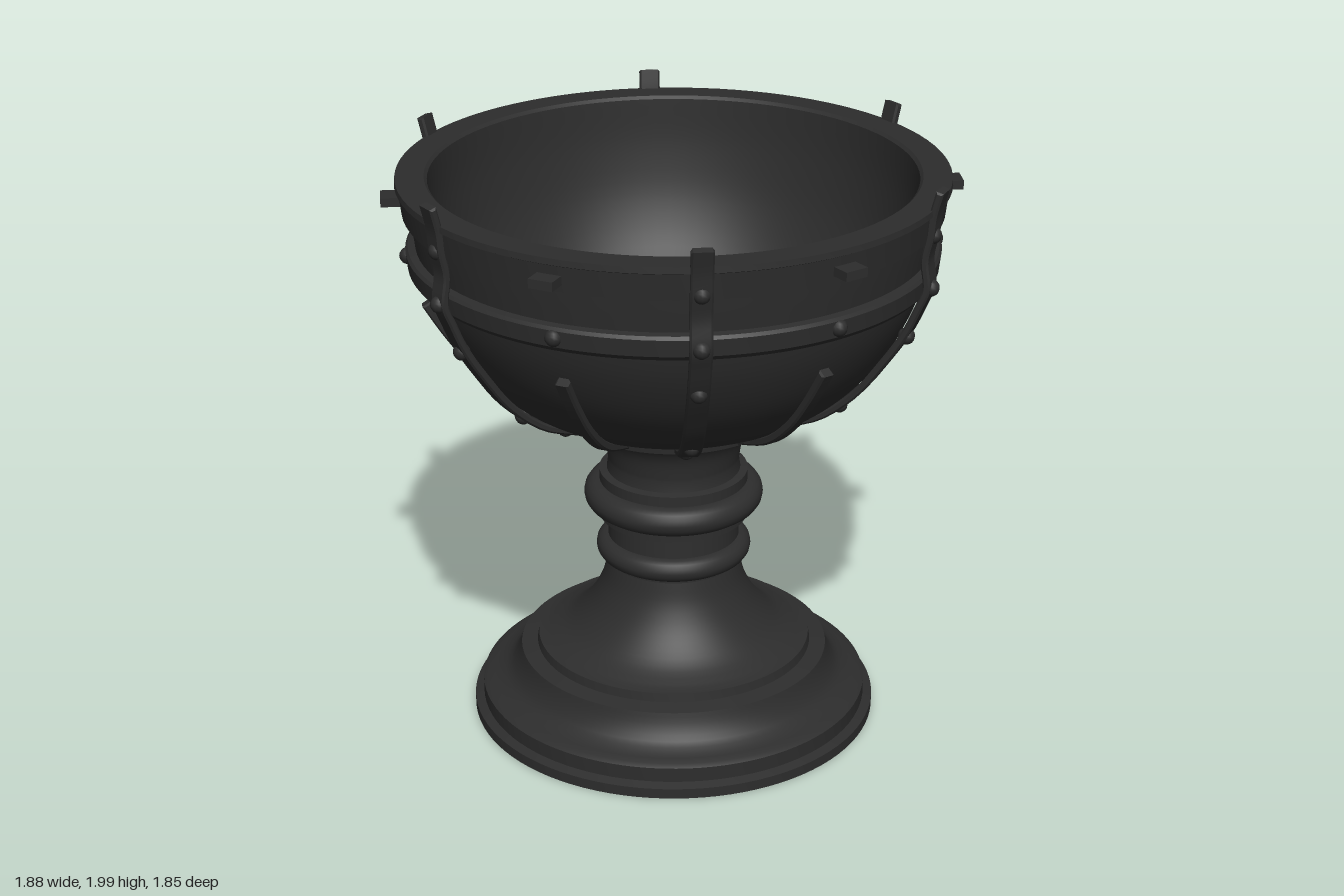
import * as THREE from 'three';
import { toCreasedNormals } from 'three/addons/utils/BufferGeometryUtils.js';

const iron = new THREE.MeshStandardMaterial({ color: 0x2d2d2d });
iron.name = 'dark iron';

const vec = (points) => points.map(([x, y]) => new THREE.Vector2(x, y));
const smooth = (points, n = 24) => new THREE.SplineCurve(vec(points)).getPoints(n);

function addMesh(parent, name, geometry) {
  const mesh = new THREE.Mesh(geometry, iron);
  mesh.name = name;
  parent.add(mesh);
  return mesh;
}

// Turned part with crisp edges; the profile runs up the outside
const turned = (points) => toCreasedNormals(new THREE.LatheGeometry(points, 96), 0.55);

// Flat bar that follows a radial profile, thickened to both sides
function bar(points, width, thickness) {
  const path = smooth(points, 36);
  const side = (sign) => path.map((p, i) => {
    const a = path[Math.max(i - 1, 0)], b = path[Math.min(i + 1, path.length - 1)];
    const t = b.clone().sub(a).normalize();
    return new THREE.Vector2(p.x + sign * t.y * thickness / 2, p.y - sign * t.x * thickness / 2);
  });
  const shape = new THREE.Shape([...side(1), ...side(-1).reverse()]);
  const bevel = 0.006;
  const geo = new THREE.ExtrudeGeometry(shape, {
    depth: width - 2 * bevel, bevelEnabled: true, bevelSize: bevel,
    bevelOffset: -bevel, bevelThickness: bevel, bevelSegments: 1,
  });
  geo.translate(0, 0, bevel - width / 2);
  return toCreasedNormals(geo, 0.5);
}

export function createModel() {
  const cup = new THREE.Group();
  cup.name = 'goblet';

  // Stepped foot and flared stem
  addMesh(cup, 'foot', turned([
    ...vec([[0, 0], [0.69, 0], [0.69, 0.035], [0.66, 0.045], [0.66, 0.095], [0.645, 0.105]]),
    ...smooth([[0.62, 0.11], [0.57, 0.135], [0.54, 0.18], [0.525, 0.225]], 8),
    ...vec([[0.47, 0.235], [0.465, 0.265]]),
    ...smooth([[0.44, 0.27], [0.36, 0.31], [0.29, 0.385], [0.245, 0.47], [0.225, 0.55]], 16),
  ]));
  addMesh(cup, 'stem', turned([
    ...vec([[0.225, 0.54], [0.22, 0.71], [0.25, 0.715], [0.25, 0.745], [0.25, 0.85], [0.25, 0.88], [0.225, 0.885]]),
    ...smooth([[0.22, 0.92], [0.235, 1.0], [0.27, 1.055], [0.325, 1.08]], 14),
    ...vec([[0.355, 1.085], [0.36, 1.12], [0.3, 1.14]]),
  ]));

  // Rounded collars on the stem
  for (const [name, y, radius, height] of [['largeKnop', 0.795, 0.302, 0.05], ['smallKnop', 0.6, 0.262, 0.041]]) {
    const ring = new THREE.TorusGeometry(radius - height, height, 16, 80);
    ring.rotateX(Math.PI / 2);
    addMesh(cup, name, ring).position.y = y;
  }

  // Hollow bowl with a raised rim
  addMesh(cup, 'bowl', turned([
    ...smooth([[0.3, 1.115], [0.42, 1.135], [0.54, 1.195], [0.64, 1.28], [0.725, 1.39], [0.79, 1.52], [0.825, 1.64], [0.84, 1.74], [0.848, 1.81]], 30),
    ...vec([[0.875, 1.82], [0.885, 1.905], [0.895, 1.91], [0.893, 1.93], [0.8, 1.93]]),
    ...smooth([[0.79, 1.92], [0.775, 1.75], [0.73, 1.56], [0.64, 1.39], [0.5, 1.27], [0.3, 1.2], [0, 1.175]], 30),
  ]));
  addMesh(cup, 'bowlBand', turned(vec(
    [[0.81, 1.62], [0.85, 1.62], [0.862, 1.635], [0.868, 1.69], [0.86, 1.7], [0.82, 1.705]])));

  const strapGeo = bar([[0.4, 1.12], [0.53, 1.17], [0.65, 1.27], [0.74, 1.39], [0.81, 1.5], [0.855, 1.6],
    [0.88, 1.67], [0.87, 1.76], [0.885, 1.84], [0.892, 1.91], [0.912, 1.99]], 0.07, 0.025);
  const ribGeo = bar([[0.38, 1.12], [0.53, 1.175], [0.645, 1.27], [0.735, 1.385], [0.808, 1.5]], 0.045, 0.03);
  const pegGeo = new THREE.BoxGeometry(0.08, 0.03, 0.08);
  const rivetGeo = new THREE.SphereGeometry(0.028, 12, 8);

  const addRivets = (parent, spots) => spots.forEach(([r, y]) =>
    addMesh(parent, 'rivet', rivetGeo).position.set(r, y, 0));

  // Six tall straps alternate with six short ribs and rim pegs
  for (let i = 0; i < 12; i++) {
    const spoke = new THREE.Group();
    spoke.rotation.y = THREE.MathUtils.degToRad(-93 + i * 30);
    cup.add(spoke);
    if (i % 2 === 0) {
      spoke.name = 'strap';
      addMesh(spoke, 'strapBar', strapGeo);
      addRivets(spoke, [[0.43, 1.13], [0.59, 1.215], [0.81, 1.49], [0.885, 1.665], [0.885, 1.84]]);
    } else {
      spoke.name = 'rib';
      addMesh(spoke, 'ribBar', ribGeo);
      addMesh(spoke, 'rimPeg', pegGeo).position.set(0.9, 1.86, 0);
      addRivets(spoke, [[0.86, 1.665]]);
    }
  }
  return cup;
}
